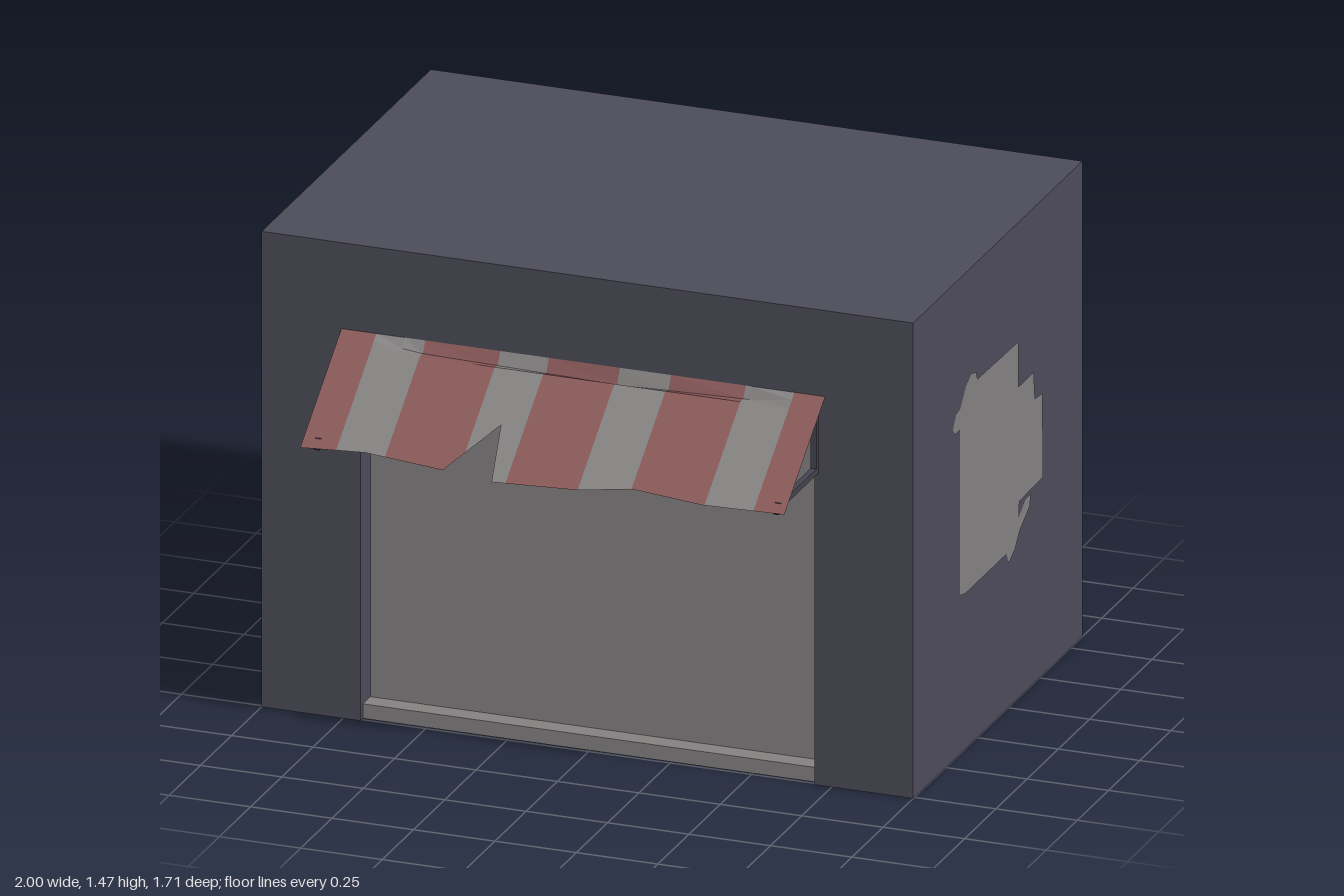
import * as THREE from 'three';

const mat = (name, color) => new THREE.MeshStandardMaterial({ name, color, side: THREE.DoubleSide, flatShading: true });

// main dimensions
const H = 1.465, BACK = -0.845, FRONT = 0.51;
const OPEN_X = 0.697, OPEN_H = 1.1, DOOR_Z = 0.43, ROOM_BACK = -0.71;

// piecewise linear lookup
function lookup(points, x) {
  for (let i = 1; i < points.length; i++) {
    const [x0, y0] = points[i - 1], [x1, y1] = points[i];
    if (x <= x1) return y0 + ((y1 - y0) * (x - x0)) / (x1 - x0);
  }
  return points[points.length - 1][1];
}

export function createModel() {
  const group = new THREE.Group();
  const wallMat = mat('slate wall', 0x4d4c5a);
  const greyMat = mat('pale grey', 0x858282);
  const redMat = mat('faded red', 0x885857);
  const frameMat = mat('dark frame', 0x464350);

  const add = (name, geo, material, parent = group) => {
    const mesh = new THREE.Mesh(geo, material);
    mesh.name = name;
    parent.add(mesh);
    return mesh;
  };
  const panel = (name, w, h, pos, rx, ry, material) => {
    const m = add(name, new THREE.PlaneGeometry(w, h), material);
    m.position.set(...pos);
    m.rotation.set(rx, ry, 0);
  };

  // outer shell, open underneath
  const depth = FRONT - BACK, midZ = (FRONT + BACK) / 2, Q = Math.PI / 2;
  panel('roof', 2, depth, [0, H, midZ], -Q, 0, wallMat);
  panel('backWall', 2, H, [0, H / 2, BACK], 0, Math.PI, wallMat);
  for (const s of [-1, 1]) {
    panel(s > 0 ? 'leftWall' : 'rightWall', depth, H, [s, H / 2, midZ], 0, s * Q, wallMat);
  }
  const front = new THREE.Shape([
    [-1, 0], [-OPEN_X, 0], [-OPEN_X, OPEN_H], [OPEN_X, OPEN_H],
    [OPEN_X, 0], [1, 0], [1, H], [-1, H],
  ].map(p => new THREE.Vector2(...p)));
  add('frontWall', new THREE.ShapeGeometry(front), wallMat).position.z = FRONT;

  // hollow room behind the opening
  const roomD = FRONT - ROOM_BACK, roomZ = (FRONT + ROOM_BACK) / 2;
  panel('roomCeiling', 2 * OPEN_X, roomD, [0, OPEN_H, roomZ], Q, 0, wallMat);
  panel('roomBack', 2 * OPEN_X, OPEN_H, [0, OPEN_H / 2, ROOM_BACK], 0, 0, wallMat);
  for (const s of [-1, 1]) {
    panel('roomSide', roomD, OPEN_H, [s * OPEN_X, OPEN_H / 2, roomZ], 0, -s * Q, wallMat);
  }

  // shutter door and its sill
  panel('door', 2 * OPEN_X, OPEN_H, [0, OPEN_H / 2, DOOR_Z], 0, 0, greyMat);
  add('doorSill', new THREE.BoxGeometry(2 * OPEN_X, 0.045, 0.06), greyMat)
    .position.set(0, 0.0225, DOOR_Z + 0.03);

  // worn patch on each side wall
  const patch = new THREE.Shape([
    [-0.14, 0.49], [-0.14, 1.0], [-0.18, 1.0], [-0.2, 1.02], [-0.17, 1.06], [-0.14, 1.065],
    [-0.09, 1.12], [-0.05, 1.14], [-0.01, 1.13], [0, 1.105], [0.32, 1.1], [0.33, 1.09],
    [0.33, 0.96], [0.45, 0.96], [0.46, 0.875], [0.52, 0.87], [0.525, 0.61], [0.335, 0.605],
    [0.33, 0.56], [0.385, 0.595], [0.425, 0.595], [0.42, 0.56], [0.34, 0.515], [0.3, 0.47],
    [0.25, 0.445], [0.23, 0.48], [-0.1, 0.48],
  ].map(p => new THREE.Vector2(...p)));
  for (const s of [-1, 1]) {
    const m = add('wallPatch', new THREE.ShapeGeometry(patch), greyMat);
    m.rotation.y = s * Q;
    m.position.set(s * 1.002, 0, s > 0 ? 0 : -0.33);
  }

  // awning cloth: striped sheet with a torn lower edge and a sag near the wall
  const awning = new THREE.Group();
  awning.name = 'awning';
  group.add(awning);
  const stripes = [-0.755, -0.647, -0.497, -0.267, -0.118, 0.1, 0.257, 0.487, 0.636, 0.73];
  const hem = [[-0.755, 0.955], [-0.56, 0.963], [-0.315, 0.95], [-0.19, 1.055], [-0.16, 0.94],
    [0.1, 0.948], [0.26, 0.965], [0.48, 0.953], [0.73, 0.957]];
  const sag = [[-0.755, 0], [-0.65, 0], [-0.5, 0.016], [0.1, 0.028], [0.5, 0.016], [0.64, 0], [0.73, 0]];
  const slopeY = z => 1.2 - ((z - FRONT) * 0.245) / 0.33;
  const slopeZ = y => FRONT + ((1.2 - y) * 0.33) / 0.245;
  const column = x => {
    const y = lookup(hem, x);
    return [[x, 1.2, FRONT], [x, slopeY(0.532) - lookup(sag, x), 0.532],
      [x, slopeY(0.555), 0.555], [x, y, slopeZ(y)]];
  };
  const stations = [...new Set([...stripes, ...hem.map(p => p[0]), ...sag.map(p => p[0])])].sort((a, b) => a - b);
  for (let i = 0; i + 1 < stripes.length; i++) {
    const xs = stations.filter(x => x >= stripes[i] && x <= stripes[i + 1]);
    const verts = [];
    for (let k = 0; k + 1 < xs.length; k++) {
      const a = column(xs[k]), b = column(xs[k + 1]);
      for (let r = 0; r < 3; r++) {
        verts.push(...a[r], ...a[r + 1], ...b[r + 1], ...a[r], ...b[r + 1], ...b[r]);
      }
    }
    const geo = new THREE.BufferGeometry();
    geo.setAttribute('position', new THREE.Float32BufferAttribute(verts, 3));
    geo.computeVertexNormals();
    add('awningStripe', geo, i % 2 ? greyMat : redMat, awning);
  }

  // triangular brackets holding the cloth
  const slopeLen = Math.hypot(0.31, 0.23);
  for (const x of [-0.71, 0.7]) {
    const bracket = new THREE.Group();
    bracket.name = 'awningBracket';
    bracket.position.x = x;
    awning.add(bracket);
    add('bracketPost', new THREE.BoxGeometry(0.018, 0.22, 0.014), frameMat, bracket).position.set(0, 1.07, 0.517);
    add('bracketArm', new THREE.BoxGeometry(0.018, 0.018, 0.3), frameMat, bracket).position.set(0, 0.97, 0.66);
    const brace = add('bracketBrace', new THREE.BoxGeometry(0.018, 0.012, slopeLen), frameMat, bracket);
    brace.position.set(0, 1.067, 0.672);
    brace.rotation.x = Math.atan2(0.245, 0.33);
  }
  return group;
}
